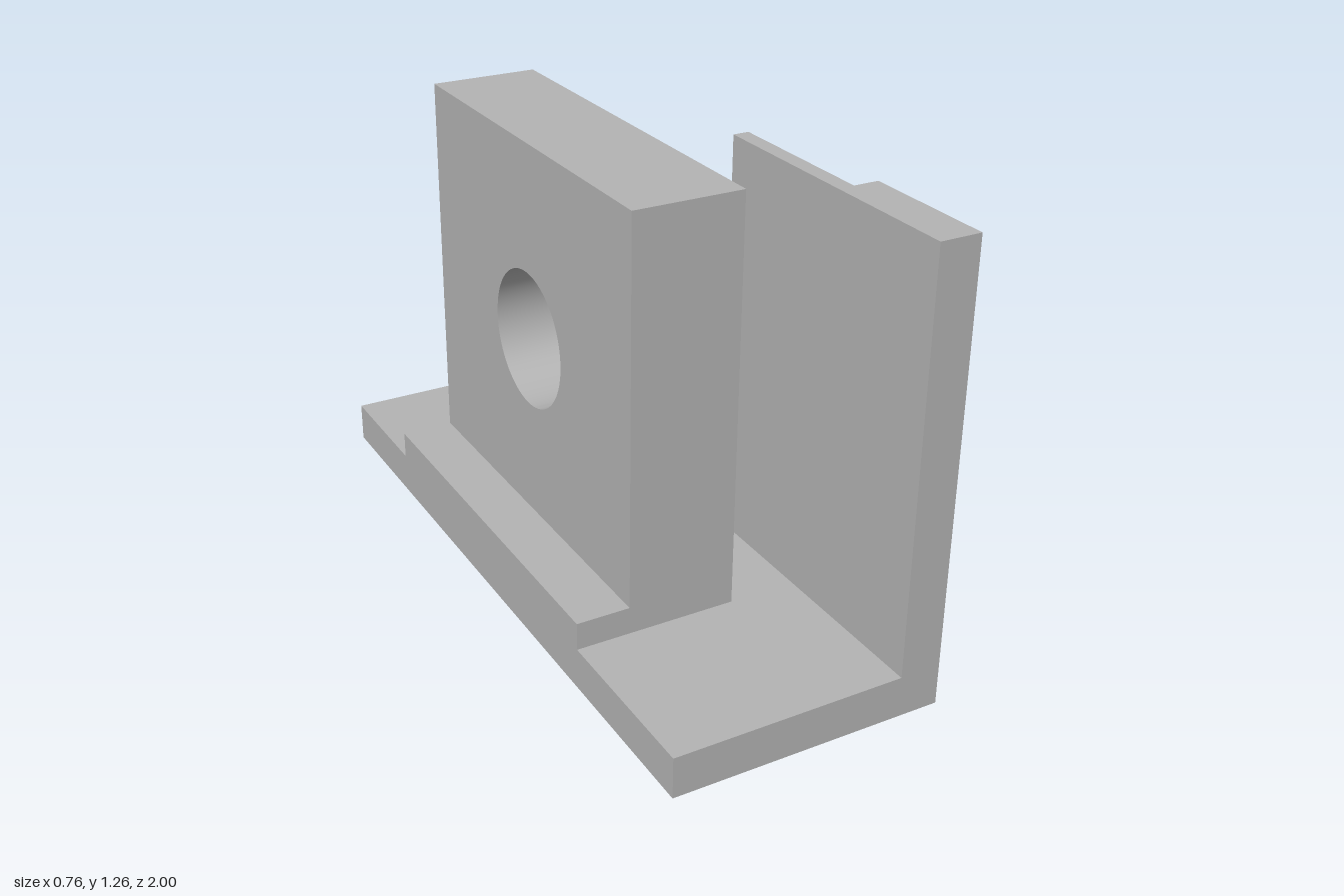
import * as THREE from 'three';
import { toCreasedNormals } from 'three/addons/utils/BufferGeometryUtils.js';

export function createModel() {
  const group = new THREE.Group();
  const grey = new THREE.MeshStandardMaterial({ color: 0xb3b3b3 });
  grey.name = 'grey';

  const add = (name, geometry) => {
    const mesh = new THREE.Mesh(geometry, grey);
    mesh.name = name;
    group.add(mesh);
  };

  // Box given by its limits on each axis
  const box = (name, [x0, x1], [y0, y1], [z0, z1]) =>
    add(name, new THREE.BoxGeometry(x1 - x0, y1 - y0, z1 - z0)
      .translate((x0 + x1) / 2, (y0 + y1) / 2, (z0 + z1) / 2));

  const baseTop = 0.115, top = 1.26, zBack = -0.62, zFront = 0.52;

  // Base plate and the low ledge beside the block
  box('basePlate', [-0.38, 0.38], [0, baseTop], [-1, 1]);
  box('ledge', [-0.38, -0.23], [baseTop, 0.192], [zBack, zFront]);

  // Upright block in two layers: wide counterbore, then narrow through hole
  const layer = (name, x0, x1, radius) => {
    const shape = new THREE.Shape([
      [-zFront, baseTop], [-zBack, baseTop], [-zBack, top], [-zFront, top],
    ].map(([u, v]) => new THREE.Vector2(u, v)));
    shape.holes.push(new THREE.Path().absarc(0.045, 0.71, radius, 0, Math.PI * 2, true));
    const geometry = new THREE.ExtrudeGeometry(shape, {
      depth: x1 - x0, bevelEnabled: false, curveSegments: 48,
    });
    geometry.rotateY(Math.PI / 2).translate(x0, 0, 0);
    add(name, toCreasedNormals(geometry, 0.5));
  };
  layer('blockCounterbore', -0.23, 0, 0.192);
  layer('blockThroughHole', 0, 0.075, 0.1);

  // Side wall, thinner towards the back where its outer face is recessed
  const wall = new THREE.Shape([
    [0.265, -1], [0.38, -1], [0.38, -0.62], [0.31, -0.62], [0.31, -0.16], [0.265, -0.16],
  ].map(([x, y]) => new THREE.Vector2(x, y)));
  add('sideWall', new THREE.ExtrudeGeometry(wall, { depth: top - baseTop, bevelEnabled: false })
    .rotateX(-Math.PI / 2).translate(0, baseTop, 0));

  return group;
}
